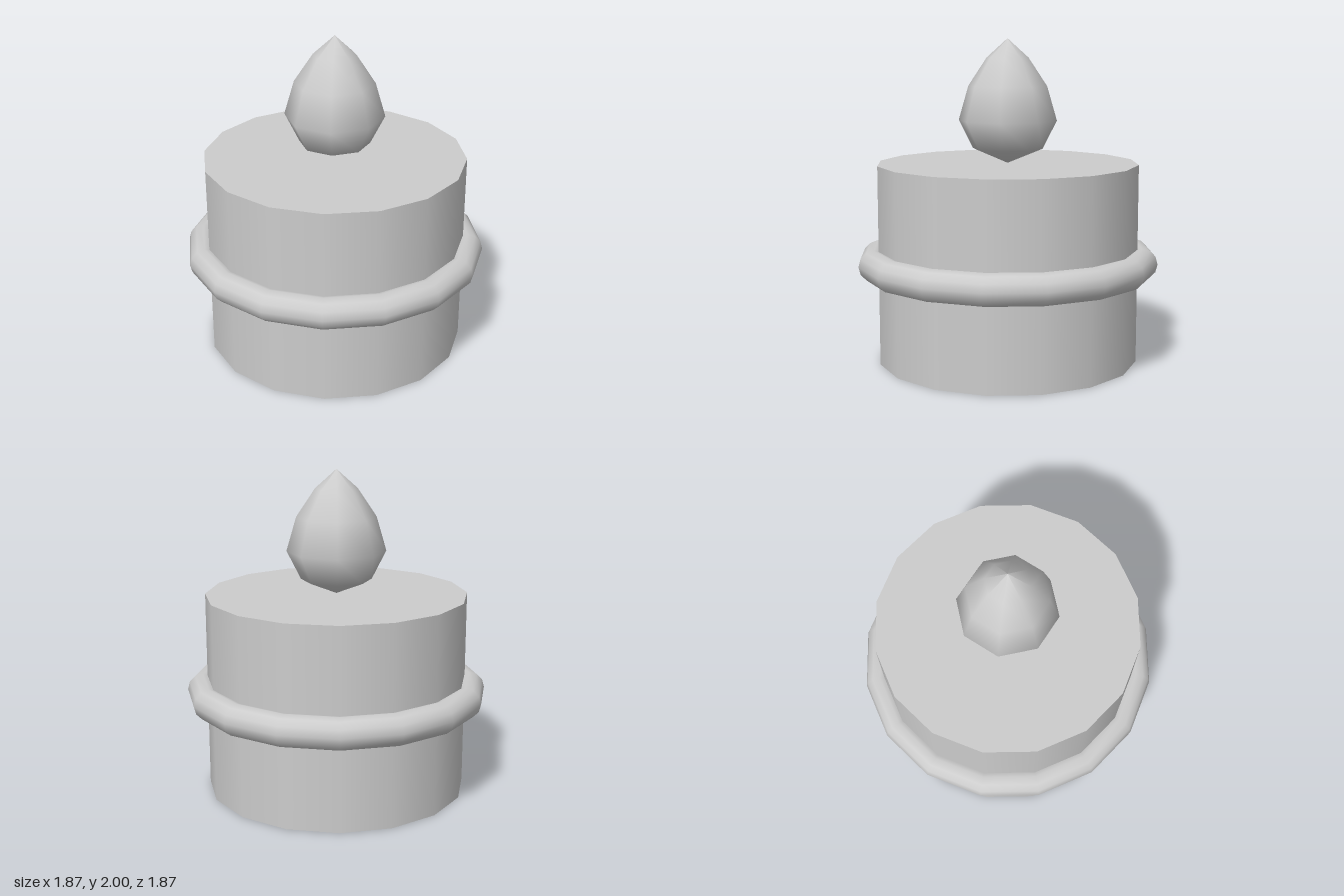
import * as THREE from 'three';

export function createModel() {
  const model = new THREE.Group();
  const grey = new THREE.MeshStandardMaterial({ color: 0xcccccc });
  grey.name = 'grey';

  const add = (name, geometry, y) => {
    const mesh = new THREE.Mesh(geometry, grey);
    mesh.name = name;
    mesh.position.y = y;
    model.add(mesh);
  };

  // Sixteen-sided drum
  const height = 1.235;
  add('candleBody', new THREE.CylinderGeometry(0.81, 0.81, height, 16), height / 2);

  // Ring around the middle, half sunk into the drum
  add('ring', new THREE.TorusGeometry(0.838, 0.097, 12, 16).rotateX(Math.PI / 2), 0.62);

  // Teardrop flame standing on the top face
  const profile = [[0, 0], [0.218, 0.09], [0.306, 0.265], [0.245, 0.475], [0.13, 0.648], [0, 0.765]]
    .map(([r, y]) => new THREE.Vector2(r, y));
  add('flame', new THREE.LatheGeometry(profile, 8), height);

  return model;
}
